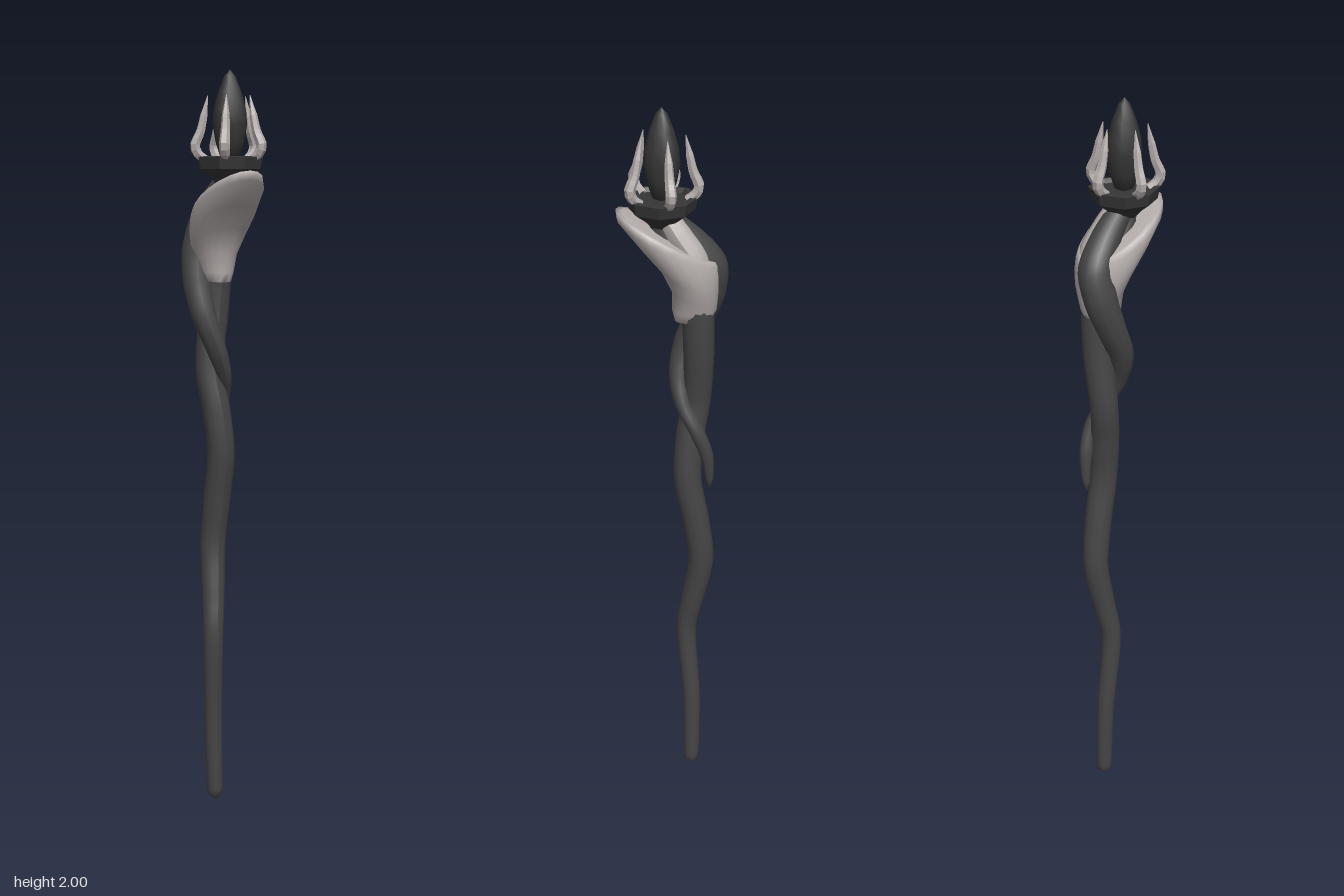
import * as THREE from 'three';

const V = (p) => new THREE.Vector3(p[0], p[1], p[2]);

// Tube through points [x, y, z, radius], tapering between them
function taperedTube(points, segments, sides) {
  const curve = new THREE.CatmullRomCurve3(points.map(V));
  const geo = new THREE.TubeGeometry(curve, segments, 1, sides);
  const pos = geo.attributes.position;
  const p = new THREE.Vector3();
  for (let i = 0; i <= segments; i++) {
    const u = i / segments;
    const c = curve.getPointAt(u);
    const t = curve.getUtoTmapping(u) * (points.length - 1);
    const k = Math.min(Math.floor(t), points.length - 2);
    const r = THREE.MathUtils.lerp(points[k][3], points[k + 1][3], t - k);
    for (let j = 0; j <= sides; j++) {
      const n = i * (sides + 1) + j;
      p.fromBufferAttribute(pos, n).sub(c).multiplyScalar(r).add(c);
      pos.setXYZ(n, p.x, p.y, p.z);
    }
  }
  geo.computeVertexNormals();
  return geo;
}

// Slanted oval rings [front z, front y, back z, back y, half width], capped at both ends
function slantedLoft(rings, sides) {
  const verts = [], index = [];
  rings.forEach(([zf, yf, zb, yb, w]) => {
    for (let j = 0; j < sides; j++) {
      const a = (j / sides) * Math.PI * 2;
      const t = (1 - Math.cos(a)) / 2;
      verts.push(w * Math.sin(a), THREE.MathUtils.lerp(yf, yb, t), THREE.MathUtils.lerp(zf, zb, t));
    }
  });
  for (let i = 0; i < rings.length - 1; i++) {
    for (let j = 0; j < sides; j++) {
      const k = (j + 1) % sides;
      const a = i * sides + j, b = i * sides + k;
      index.push(a, b, b + sides, a, b + sides, a + sides);
    }
  }
  const top = (rings.length - 1) * sides;
  for (let j = 1; j < sides - 1; j++) {
    index.push(0, j + 1, j, top, top + j, top + j + 1);
  }
  const geo = new THREE.BufferGeometry();
  geo.setAttribute('position', new THREE.Float32BufferAttribute(verts, 3));
  geo.setIndex(index);
  geo.computeVertexNormals();
  return geo;
}

function faceted(geo) {
  const flat = geo.toNonIndexed();
  flat.computeVertexNormals();
  return flat;
}

export function createModel() {
  const group = new THREE.Group();
  const material = (name, color) => {
    const m = new THREE.MeshStandardMaterial({ color });
    m.name = name;
    return m;
  };
  const wood = material('dark wood', 0x464646);
  const iron = material('dark iron', 0x363636);
  const bone = material('pale bone', 0xb4adab);
  const add = (name, geo, mat, parent = group) => {
    const mesh = new THREE.Mesh(geo, mat);
    mesh.name = name;
    parent.add(mesh);
    return mesh;
  };

  // Crooked shaft, running up inside the bone hood
  add('shaft', taperedTube([
    [-0.003, 0, -0.055, 0], [-0.003, 0.008, -0.055, 0.018], [-0.004, 0.03, -0.055, 0.022],
    [-0.01, 0.25, -0.054, 0.025], [-0.017, 0.5, -0.038, 0.028], [-0.008, 0.6, -0.055, 0.031],
    [0.002, 0.74, -0.077, 0.035], [0.007, 0.87, -0.062, 0.037], [0.008, 1.0, -0.04, 0.037],
    [-0.004, 1.12, -0.045, 0.038], [-0.016, 1.22, -0.06, 0.037], [0, 1.38, -0.066, 0.04],
    [0.005, 1.5, -0.06, 0.042], [0.005, 1.6, -0.045, 0.045], [0, 1.665, 0.01, 0.04],
    [0, 1.72, 0.03, 0.03],
  ], 100, 12), wood);

  // Root twisting around the shaft and over the back of the hood
  add('twistingRoot', taperedTube([
    [0.012, 0.975, -0.098, 0], [0.014, 1.0, -0.098, 0.01], [0.022, 1.08, -0.09, 0.018],
    [0.026, 1.15, -0.065, 0.02], [0.008, 1.22, -0.028, 0.022], [-0.02, 1.29, -0.015, 0.027],
    [-0.046, 1.37, -0.03, 0.033], [-0.048, 1.45, -0.065, 0.038], [-0.036, 1.53, -0.09, 0.044],
    [-0.018, 1.6, -0.09, 0.045], [-0.008, 1.66, -0.05, 0.04], [0, 1.72, 0.01, 0.032],
  ], 90, 10), wood);

  // Pale hood, flaring forward to a lip
  add('boneHood', slantedLoft([
    [-0.004, 1.46, -0.1, 1.47, 0.038], [0.002, 1.485, -0.11, 1.49, 0.045],
    [0.003, 1.54, -0.112, 1.515, 0.057], [0.032, 1.6, -0.115, 1.545, 0.073],
    [0.085, 1.66, -0.117, 1.58, 0.083], [0.138, 1.725, -0.115, 1.61, 0.085],
    [0.14, 1.748, -0.11, 1.622, 0.079], [0.125, 1.745, -0.1, 1.624, 0.068],
  ], 20), bone);

  // Pale strand rising from the hood to the cup
  add('boneStrand', taperedTube([
    [0.03, 1.56, -0.07, 0.03], [0.025, 1.63, -0.055, 0.035],
    [0.015, 1.69, -0.015, 0.034], [0.005, 1.74, 0.02, 0.028],
  ], 20, 10), bone);

  // Crown: eight-sided cup, pointed stone and five claws
  const crown = new THREE.Group();
  crown.name = 'crown';
  crown.position.z = 0.027;
  group.add(crown);
  const lathe = (profile, sides) =>
    new THREE.LatheGeometry(profile.map(([x, y]) => new THREE.Vector2(x, y)), sides);

  add('cup', faceted(lathe([
    [0, 1.705], [0.028, 1.705], [0.05, 1.728], [0.082, 1.752], [0.088, 1.782],
    [0.074, 1.784], [0.066, 1.774], [0, 1.774],
  ], 8)), iron, crown);

  add('stone', lathe([
    [0, 1.77], [0.024, 1.78], [0.037, 1.82], [0.045, 1.865], [0.042, 1.9],
    [0.03, 1.945], [0.014, 1.985], [0, 2],
  ], 10), iron, crown);

  const clawGeo = faceted(taperedTube([
    [0, 1.775, 0.062, 0.012], [0, 1.79, 0.082, 0.013], [0, 1.81, 0.09, 0.014],
    [0, 1.845, 0.076, 0.012], [0, 1.885, 0.067, 0.01], [0, 1.935, 0.057, 0.001],
  ], 14, 6));
  for (let i = 0; i < 5; i++) {
    add('claw', clawGeo, bone, crown).rotation.y = Math.PI + (i * Math.PI * 2) / 5;
  }
  return group;
}
